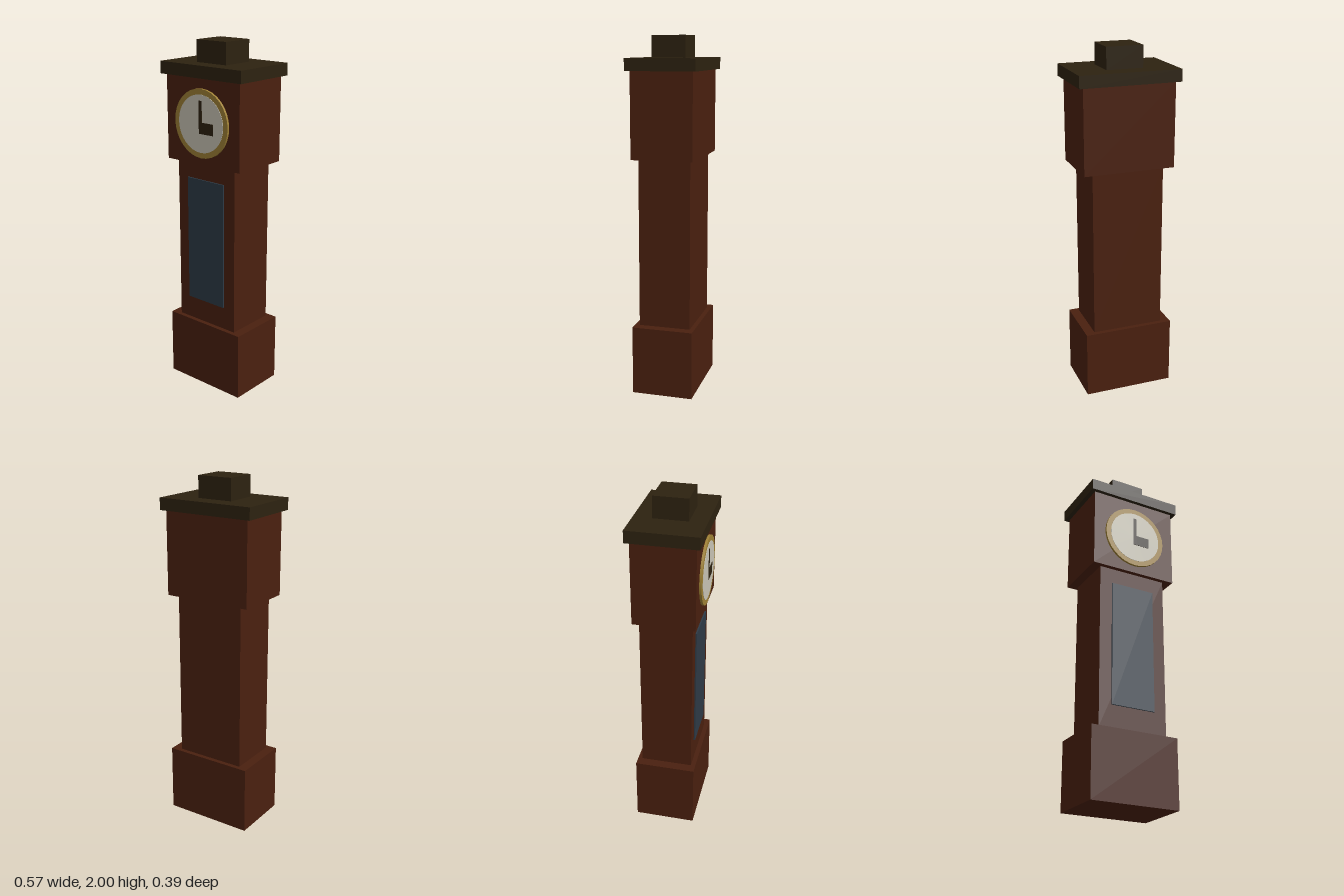
import * as THREE from 'three';

const material = (name, color) => {
  const m = new THREE.MeshStandardMaterial({ color });
  m.name = name;
  return m;
};

export function createModel() {
  const clock = new THREE.Group();
  clock.name = 'longcaseClock';

  const wood = material('redWood', 0x4a200f);
  const darkWood = material('darkWood', 0x2d2210);
  const glass = material('blueGlass', 0x2e3b47);
  const brass = material('brass', 0xa08236);
  const ivory = material('ivory', 0xcac6b7);

  const add = (name, geometry, mat) => {
    const mesh = new THREE.Mesh(geometry, mat);
    mesh.name = name;
    clock.add(mesh);
    return mesh;
  };

  // Box given by its limits on each axis
  const box = (name, mat, [x0, x1], [y0, y1], [z0, z1]) =>
    add(name, new THREE.BoxGeometry(x1 - x0, y1 - y0, z1 - z0), mat)
      .position.set((x0 + x1) / 2, (y0 + y1) / 2, (z0 + z1) / 2);

  // Disc facing the front, between two depths
  const disc = (name, mat, radius, y, z0, z1) =>
    add(name, new THREE.CylinderGeometry(radius, radius, z1 - z0, 32).rotateX(Math.PI / 2), mat)
      .position.set(0, y, (z0 + z1) / 2);

  // Case
  box('base', wood, [-0.258, 0.258], [0, 0.39], [-0.174, 0.171]);
  box('trunk', wood, [-0.204, 0.204], [0.39, 1.34], [-0.148, 0.145]);
  box('hood', wood, [-0.258, 0.258], [1.34, 1.813], [-0.174, 0.171]);

  // Top
  box('cornice', darkWood, [-0.284, 0.284], [1.813, 1.88], [-0.195, 0.193]);
  box('crown', darkWood, [-0.103, 0.103], [1.88, 2], [-0.092, 0.098]);

  // Door pane
  box('doorPane', glass, [-0.13, 0.13], [0.523, 1.248], [0.145, 0.153]);

  // Dial
  disc('bezel', brass, 0.188, 1.57, 0.171, 0.184);
  disc('dialFace', ivory, 0.158, 1.57, 0.184, 0.186);

  // Hands
  box('minuteHand', darkWood, [-0.011, 0.01], [1.517, 1.695], [0.186, 0.188]);
  box('hourHand', darkWood, [0.01, 0.089], [1.517, 1.579], [0.186, 0.188]);

  return clock;
}
